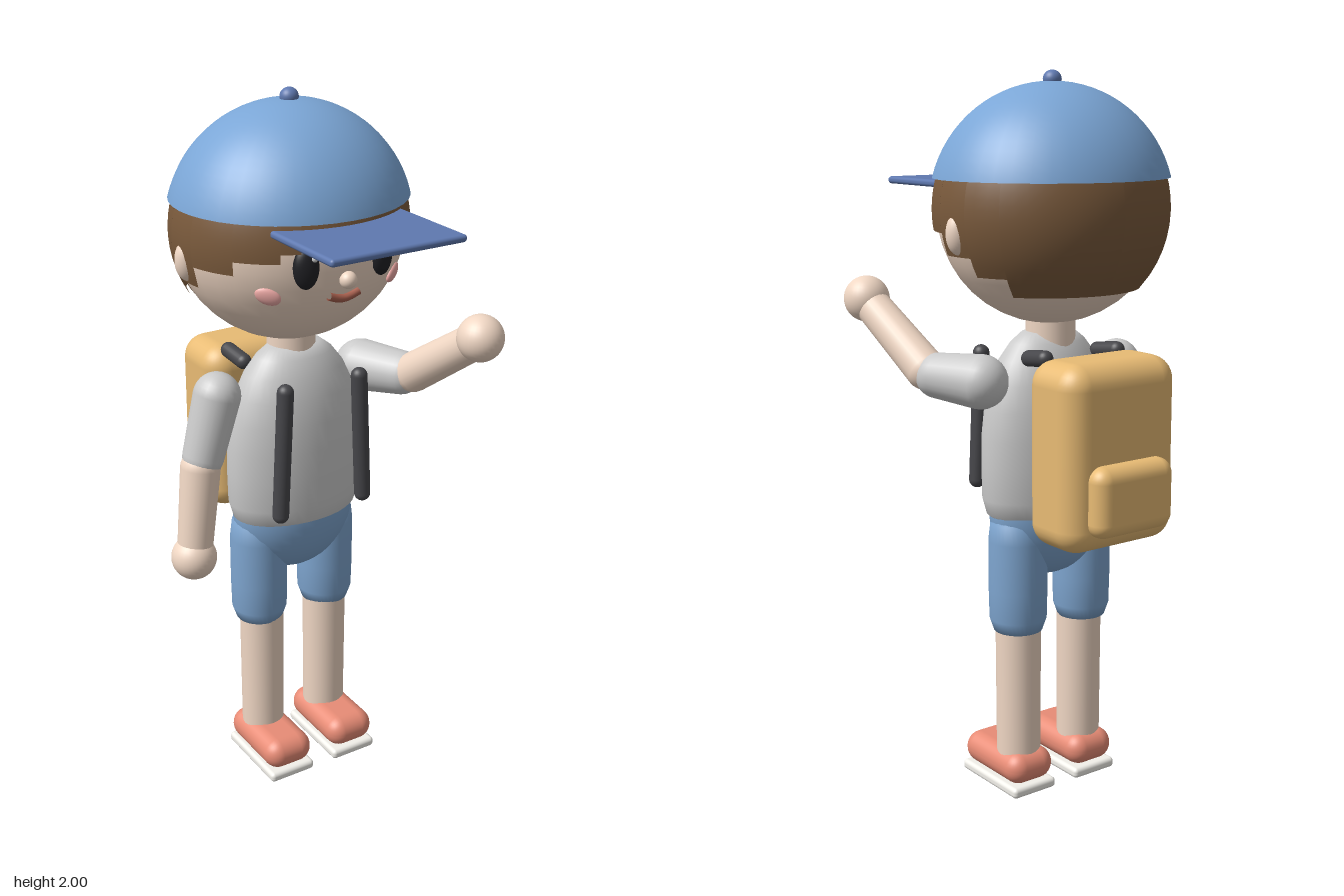
import * as THREE from 'three';
import { RoundedBoxGeometry } from 'three/addons/geometries/RoundedBoxGeometry.js';

const mat = (color) => new THREE.MeshStandardMaterial({ color, side: THREE.DoubleSide });
const SKIN = mat(0xf0d7c4), SHIRT = mat(0xc4c4c4), CAP = mat(0x7ba6d6), BRIM = mat(0x5f79b0);
const HAIR = mat(0x7a5a3c), SHORTS = mat(0x7ea5cf), PACK = mat(0xe8bb74), STRAP = mat(0x46464a);
const SHOE = mat(0xe88c76), SOLE = mat(0xf2f0ea), EYE = mat(0x202024), LIP = mat(0xa8604e);
const BLUSH = mat(0xeeaaa6), WHITE = mat(0xffffff);

const CX = -0.005, HEAD = new THREE.Vector3(CX, 1.64, -0.07);
const HEAD_R = new THREE.Vector3(0.318, 0.305, 0.287);
const V = (x, y, z) => new THREE.Vector3(x, y, z);

export function createModel() {
  const root = new THREE.Group();
  const add = (name, geo, material, x = 0, y = 0, z = 0, parent = root) => {
    const m = new THREE.Mesh(geo, material);
    m.name = name;
    m.position.set(x, y, z);
    parent.add(m);
    return m;
  };
  const ball = (name, material, p, rx, ry = rx, rz = rx, parent = root) => {
    const m = add(name, new THREE.SphereGeometry(1, 32, 20), material, p.x, p.y, p.z, parent);
    m.scale.set(rx, ry, rz);
    return m;
  };
  const box = (name, material, w, h, d, r, x, y, z, parent = root) =>
    add(name, new RoundedBoxGeometry(w, h, d, 4, r), material, x, y, z, parent);
  // tapered capsule between two points
  const limb = (name, material, a, b, ra, rb) => {
    const len = a.distanceTo(b), pts = [];
    for (let i = 0; i <= 8; i++) {
      const t = -Math.PI / 2 + (i / 8) * Math.PI / 2;
      pts.push(new THREE.Vector2(Math.max(0, ra * Math.cos(t)), ra * Math.sin(t)));
    }
    for (let i = 0; i <= 8; i++) {
      const t = (i / 8) * Math.PI / 2;
      pts.push(new THREE.Vector2(Math.max(0, rb * Math.cos(t)), len + rb * Math.sin(t)));
    }
    const m = add(name, new THREE.LatheGeometry(pts, 24), material, a.x, a.y, a.z);
    m.quaternion.setFromUnitVectors(V(0, 1, 0), b.clone().sub(a).normalize());
    return m;
  };
  const lathe = (pts) => new THREE.LatheGeometry(pts.map(([r, y]) => new THREE.Vector2(r, y)), 40);

  // head and face
  const faceZ = (x, y) =>
    HEAD.z + HEAD_R.z * Math.sqrt(1 - (x / HEAD_R.x) ** 2 - ((y - HEAD.y) / HEAD_R.y) ** 2);
  ball('head', SKIN, HEAD, HEAD_R.x, HEAD_R.y, HEAD_R.z);
  ball('nose', SKIN, V(CX, 1.565, 0.215), 0.023);
  for (const s of [1, -1]) {
    const side = s > 0 ? 'left' : 'right';
    ball(side + 'Ear', SKIN, V(CX + s * 0.303, 1.59, -0.075), 0.036, 0.056, 0.032);
    const eye = ball(side + 'Eye', EYE, V(CX + s * 0.114, 1.61, faceZ(0.114, 1.61)), 0.034, 0.056, 0.022);
    eye.rotation.y = s * 0.3;
    ball(side + 'EyeHighlight', WHITE, V(CX + s * 0.114 + 0.013, 1.637, faceZ(0.114, 1.637) + 0.018), 0.009);
    const cheek = ball(side + 'Cheek', BLUSH, V(CX + s * 0.19, 1.532, faceZ(0.19, 1.532)), 0.035, 0.023, 0.012);
    cheek.rotation.set(0.2, s * 0.65, s * 0.25);
  }
  const lips = [[-0.045, 1.523], [-0.02, 1.514], [0, 1.511], [0.02, 1.514], [0.045, 1.523]]
    .map(([x, y]) => V(CX + x, y, faceZ(x, y) + 0.003));
  add('mouth', new THREE.TubeGeometry(new THREE.CatmullRomCurve3(lips), 20, 0.011, 10), LIP);

  // hair shell: lower edge steps down from fringe to nape (angle from front, height)
  const steps = [[0.42, 1.69], [0.58, 1.65], [0.97, 1.625], [1.4, 1.588], [1.76, 1.53], [2.1, 1.48], [Math.PI, 1.43]];
  const cols = [];
  let from = 0;
  for (const [to, y] of steps) {
    const n = Math.ceil((to - from) / 0.12);
    for (let i = 0; i <= n; i++) cols.push([from + (to - from) * i / n, y]);
    from = to;
  }
  const ring = [...cols.map(([a, y]) => [-a, y]).reverse(), ...cols];
  const pos = [], idx = [], rows = 10;
  for (const [a, low] of ring) {
    for (let j = 0; j <= rows; j++) {
      const y = 1.77 + (low - 1.77) * j / rows - HEAD.y;
      const k = Math.sqrt(1 - (y / 0.316) ** 2);
      pos.push(0.328 * k * Math.sin(a), y, 0.302 * k * Math.cos(a));
    }
  }
  for (let i = 0; i < ring.length - 1; i++) {
    for (let j = 0; j < rows; j++) {
      const p = i * (rows + 1) + j, q = p + rows + 1;
      idx.push(p, p + 1, q, q, p + 1, q + 1);
    }
  }
  const hair = new THREE.BufferGeometry();
  hair.setAttribute('position', new THREE.Float32BufferAttribute(pos, 3));
  hair.setIndex(idx);
  hair.computeVertexNormals();
  add('hair', hair, HAIR, HEAD.x, HEAD.y, HEAD.z);

  // cap
  const cap = new THREE.Group();
  cap.name = 'cap';
  root.add(cap);
  const dome = add('capDome', new THREE.SphereGeometry(1, 40, 16, 0, Math.PI * 2, 0, Math.acos(0.25)), CAP,
    HEAD.x, HEAD.y, HEAD.z, cap);
  dome.scale.set(0.336, 0.332, 0.314);
  box('capBrim', BRIM, 0.395, 0.02, 0.285, 0.009, CX, 1.7, 0.3, cap);
  ball('capButton', BRIM, V(CX, 1.976, -0.07), 0.025, 0.024, 0.025, cap);

  // neck and shirt
  add('neck', new THREE.CylinderGeometry(0.068, 0.068, 0.14, 28), SKIN, CX, 1.3, -0.065);
  const shirt = add('shirt', lathe([[0, 0.8], [0.17, 0.8], [0.19, 0.815], [0.203, 0.86], [0.205, 0.95],
    [0.204, 1.03], [0.195, 1.11], [0.178, 1.18], [0.15, 1.24], [0.115, 1.285], [0.08, 1.312], [0, 1.318]]),
    SHIRT, -0.003, 0, -0.055);
  shirt.scale.z = 0.64;

  // shorts, legs and shoes
  const pelvis = add('shortsSeat', new THREE.SphereGeometry(1, 32, 12, 0, Math.PI * 2, Math.PI / 2, Math.PI / 2),
    SHORTS, CX, 0.815, -0.06);
  pelvis.scale.set(0.185, 0.19, 0.125);
  for (const s of [1, -1]) {
    const side = s > 0 ? 'left' : 'right', x = CX + s * 0.108;
    add(side + 'ShortsLeg', lathe([[0, 0.48], [0.068, 0.48], [0.08, 0.515], [0.082, 0.6], [0.082, 0.74],
      [0.076, 0.79], [0.05, 0.82], [0, 0.83]]), SHORTS, CX + s * 0.112, 0, -0.065);
    add(side + 'Leg', new THREE.CylinderGeometry(0.064, 0.062, 0.44, 28), SKIN, x, 0.3, -0.06);
    box(side + 'Shoe', SHOE, 0.15, 0.092, 0.265, 0.045, x, 0.079, -0.012);
    box(side + 'Sole', SOLE, 0.146, 0.03, 0.262, 0.012, x, 0.019, -0.012);
  }

  // right arm hanging
  limb('rightSleeve', SHIRT, V(-0.24, 1.2, -0.065), V(-0.287, 1.03, -0.065), 0.066, 0.058);
  limb('rightForearm', SKIN, V(-0.298, 1.0, -0.063), V(-0.328, 0.78, -0.05), 0.056, 0.05);
  ball('rightHand', SKIN, V(-0.335, 0.74, -0.047), 0.064);

  // left arm raised forward
  limb('leftSleeve', SHIRT, V(0.225, 1.195, -0.062), V(0.28, 1.2, 0.06), 0.074, 0.062);
  limb('leftForearm', SKIN, V(0.293, 1.212, 0.1), V(0.325, 1.36, 0.31), 0.056, 0.05);
  ball('leftHand', SKIN, V(0.33, 1.382, 0.34), 0.064);

  // backpack and straps
  box('backpack', PACK, 0.37, 0.5, 0.21, 0.065, CX, 1.02, -0.29);
  box('backpackPocket', PACK, 0.26, 0.19, 0.1, 0.04, CX, 0.915, -0.395);
  for (const s of [1, -1]) {
    const side = s > 0 ? 'left' : 'right';
    limb(side + 'FrontStrap', STRAP, V(CX + s * 0.117, 1.24, 0.098), V(CX + s * 0.134, 0.88, 0.098), 0.023, 0.023);
    limb(side + 'TopStrap', STRAP, V(CX + s * 0.117, 1.255, -0.125), V(CX + s * 0.122, 1.265, -0.2), 0.022, 0.022);
  }
  return root;
}
